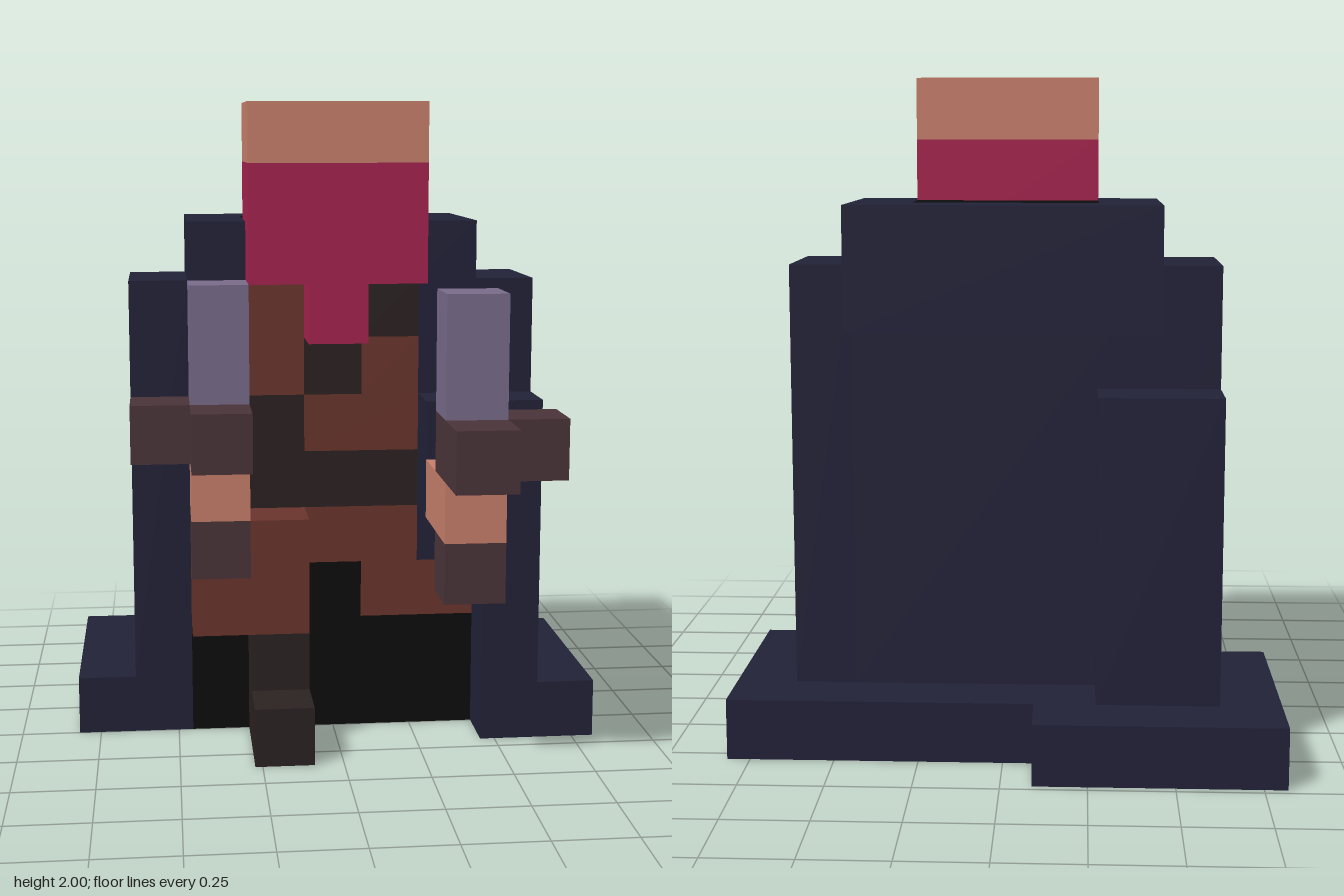
import * as THREE from 'three';

const U = 2 / 11; // one block

const colors = {
  cloakNavy: 0x222239, skin: 0xc9806c, hairRed: 0xa7224f, tunicBrown: 0x6b352d,
  strapDark: 0x2c2222, steelLavender: 0x796c8b, hiltBrown: 0x4a343a, shadowBlack: 0x0d0d0d,
};

export function createModel() {
  const model = new THREE.Group();
  const mats = {};
  for (const [name, color] of Object.entries(colors)) {
    mats[name] = new THREE.MeshStandardMaterial({ color });
    mats[name].name = name;
  }

  const part = (name) => {
    const g = new THREE.Group();
    g.name = name;
    model.add(g);
    return g;
  };
  // Box from block ranges: x, y, z each as [from, to]
  const block = (group, name, mat, x, y, z) => {
    const geo = new THREE.BoxGeometry((x[1] - x[0]) * U, (y[1] - y[0]) * U, (z[1] - z[0]) * U);
    const mesh = new THREE.Mesh(geo, mats[mat]);
    mesh.name = name;
    mesh.position.set((x[0] + x[1]) * U / 2, (y[0] + y[1]) * U / 2, (z[0] + z[1]) * U / 2);
    group.add(mesh);
  };

  // Cloak hem spread on the ground
  const hem = part('cloakHem');
  block(hem, 'hemBack', 'cloakNavy', [-4.5, -0.5], [0, 1], [-4, -3]);
  block(hem, 'hemRightSide', 'cloakNavy', [-4.5, -3.5], [0, 1], [-3, 0]);
  block(hem, 'hemRightFront', 'cloakNavy', [-3.5, -2.5], [0, 1], [-1, 0]);
  block(hem, 'hemBackLeft', 'cloakNavy', [-1.5, 4.5], [0, 1], [-3, -2]);
  block(hem, 'hemLeftSide', 'cloakNavy', [2.5, 4.5], [0, 1], [-2, 1]);

  // Dark inside of the cloak, showing below and between the legs
  const inside = part('cloakInside');
  block(inside, 'insideMain', 'shadowBlack', [-1.5, 2.5], [0, 1], [-2, 0]);
  block(inside, 'insideFold', 'shadowBlack', [-3.5, -1.5], [0, 1], [-3, -1]);
  block(inside, 'insideCorner', 'shadowBlack', [-2.5, -1.5], [0, 1], [-1, 0]);
  block(inside, 'insideFront', 'shadowBlack', [-2.5, 2.5], [1, 2], [-1, 0]);
  block(inside, 'insideGap', 'shadowBlack', [-0.5, 0.5], [2, 3], [-1, 0]);

  // Cloak walls
  const cloak = part('cloak');
  block(cloak, 'cloakBack', 'cloakNavy', [-2.5, 2.5], [1, 8], [-2, -1]);
  block(cloak, 'cloakRightWall', 'cloakNavy', [-3.5, -2.5], [1, 8], [-2, 0]);
  block(cloak, 'cloakLeftWall', 'cloakNavy', [2.5, 3.5], [1, 8], [-2, 0]);
  block(cloak, 'cloakLeftFront', 'cloakNavy', [2.5, 3.5], [1, 6], [0, 1]);
  block(cloak, 'cloakBackFold', 'cloakNavy', [-3.5, -1.5], [1, 6], [-3, -2]);
  block(cloak, 'leftSleeve', 'cloakNavy', [1.5, 2.5], [4, 6], [0, 1]);

  // Hood around the head
  const hood = part('hood');
  block(hood, 'hoodBack', 'cloakNavy', [-2.5, 2.5], [7, 9], [-3, -2]);
  block(hood, 'hoodInside', 'shadowBlack', [-1.5, 1.5], [8, 9], [-2, -1]);
  for (const s of [-2, 2]) {
    block(hood, 'hoodSide', 'cloakNavy', [s - 0.5, s + 0.5], [8, 9], [-2, 0]);
    block(hood, 'shoulder', 'cloakNavy', [s - 0.5, s + 0.5], [3, 8], [-1, 0]);
  }

  // Tunic front with a diagonal strap and belt
  const torso = part('torso');
  const rows = [
    [7, [['tunicBrown', -1.5, -0.5], ['hairRed', -0.5, 0.5], ['strapDark', 0.5, 1.5]]],
    [6, [['tunicBrown', -1.5, -0.5], ['strapDark', -0.5, 0.5], ['tunicBrown', 0.5, 1.5]]],
    [5, [['strapDark', -1.5, -0.5], ['tunicBrown', -0.5, 1.5]]],
    [4, [['strapDark', -1.5, 1.5]]],
    [3, [['tunicBrown', -1.5, 1.5]]],
    [2, [['tunicBrown', -2.5, -0.5], ['tunicBrown', 0.5, 2.5]]],
  ];
  for (const [y, spans] of rows)
    for (const [mat, x0, x1] of spans)
      block(torso, mat === 'strapDark' ? 'strap' : 'tunic', mat, [x0, x1], [y, y + 1], [-1, 0]);

  // Stepping right leg with the tunic skirt over it
  const leg = part('rightLeg');
  block(leg, 'skirtUpper', 'tunicBrown', [-1.5, -0.5], [3, 4], [0, 1]);
  block(leg, 'skirtLower', 'tunicBrown', [-2.5, -0.5], [2, 3], [0, 1]);
  block(leg, 'shin', 'strapDark', [-1.5, -0.5], [0, 2], [0, 1]);
  block(leg, 'foot', 'strapDark', [-1.5, -0.5], [0, 1], [1, 2]);

  // Head with bald crown and beard
  const head = part('head');
  block(head, 'crown', 'skin', [-1.5, 1.5], [10, 11], [-1, 1]);
  block(head, 'beard', 'hairRed', [-1.5, 1.5], [8, 10], [-1, 1]);
  block(head, 'beardTip', 'hairRed', [-0.5, 0.5], [7, 8], [0, 1]);

  // Forearm and two daggers held upright; out = direction of the side guard
  block(part('leftArm'), 'forearm', 'skin', [1.5, 2.5], [4, 5], [1, 2]);
  for (const [name, out, z] of [['rightDagger', -1, 0], ['leftDagger', 1, 2]]) {
    const g = part(name);
    const x = [out * 2 - 0.5, out * 2 + 0.5];
    block(g, 'pommel', 'hiltBrown', x, [3, 4], [z, z + 1]);
    block(g, 'hand', 'skin', x, [4, 5], [z, z + 1]);
    block(g, 'guard', 'hiltBrown', x, [5, 6], [z, z + 2]);
    block(g, 'sideGuard', 'hiltBrown', [x[0] + out, x[1] + out], [5, 6], [z, z + 1]);
    block(g, 'blade', 'steelLavender', x, [6, 8], [z, z + 1]);
  }
  return model;
}
